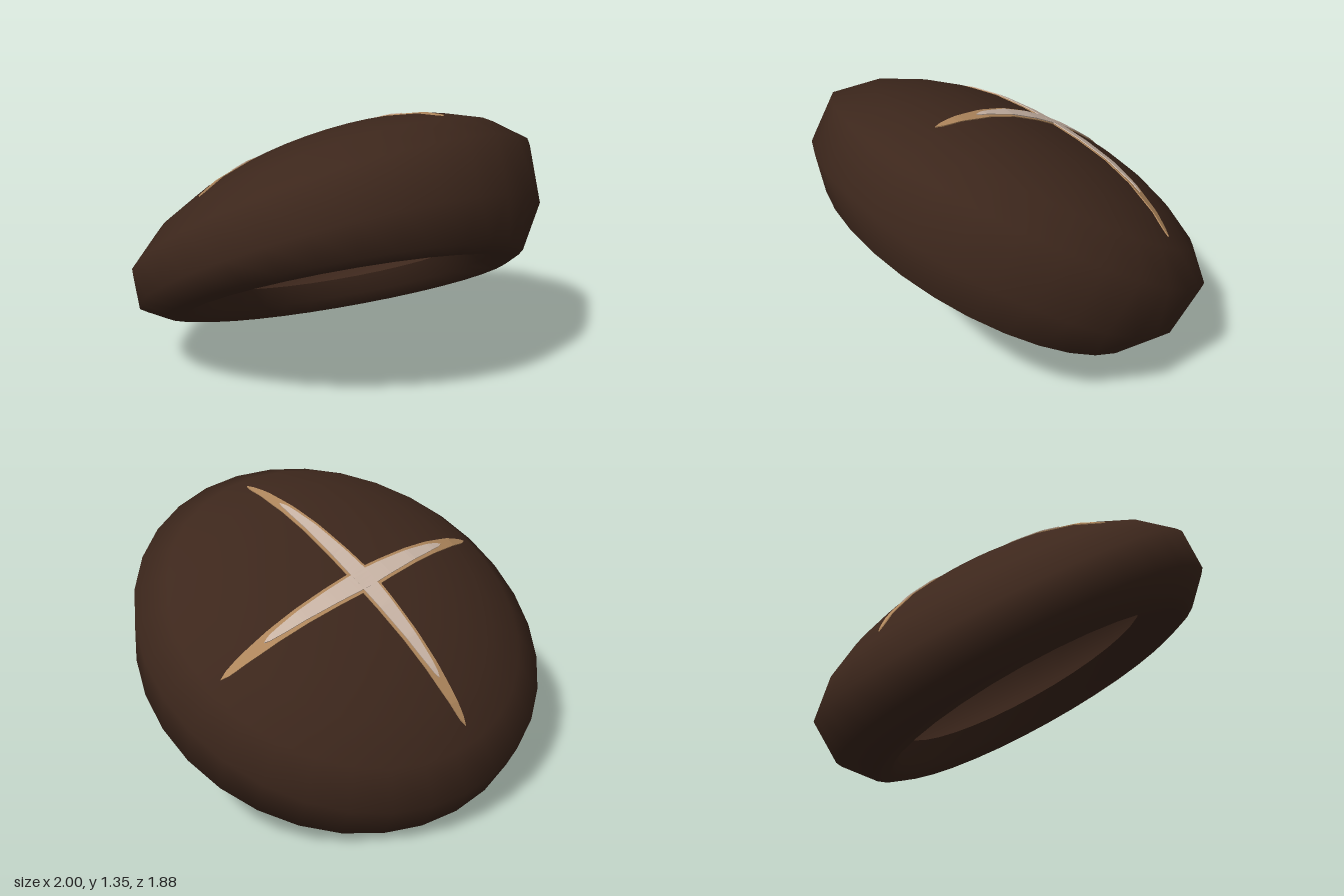
import * as THREE from 'three';
import { mergeVertices } from 'three/addons/utils/BufferGeometryUtils.js';

// Half profile of the hollow cap: [radius, height], from the curled-in lip to the crown
const PROFILE = [
  [0.654, -0.13], [0.72, -0.22], [0.805, -0.272], [0.88, -0.248], [1.005, -0.11], [1.014, 0.12],
  [0.87, 0.26], [0.69, 0.355], [0.52, 0.415], [0.36, 0.45], [0.18, 0.468], [0, 0.474],
];
const LIP_POINTS = 3;
const CROWN = PROFILE.slice(5);
const LEAN = 0.145; // the dome rises toward +x while the lip stays level

// Height of the leaning dome at a point
function domeHeight(x, z) {
  const r = Math.hypot(x, z);
  const i = CROWN.findIndex((p, k) => k > 0 && r >= p[0]);
  const [r0, h0] = CROWN[i - 1], [r1, h1] = CROWN[i];
  return h0 + ((h1 - h0) * (r - r0)) / (r1 - r0) + LEAN * x;
}

// Lathed cap whose outer wall and dome lean; the lean fades out at the lip
function capGeometry() {
  const lathe = new THREE.LatheGeometry(PROFILE.map(([r, h]) => new THREE.Vector2(r, h)), 32);
  const p = lathe.attributes.position;
  for (let i = 0; i < p.count; i++) {
    const ring = i % PROFILE.length;
    if (ring < LIP_POINTS) continue;
    const amount = THREE.MathUtils.clamp((p.getY(i) + 0.272) / 0.28, 0, 1);
    p.setY(i, p.getY(i) + LEAN * amount * p.getX(i));
  }
  lathe.deleteAttribute('uv');
  lathe.deleteAttribute('normal');
  const geometry = mergeVertices(lathe, 1e-4);
  geometry.computeVertexNormals();
  return geometry;
}

// Tapered blade that follows the dome from a to b; lift is above the skin, depth below it
function bladeGeometry(a, b, halfWidth, lift, depth, reach) {
  const steps = 24, pos = [], index = [];
  const along = b.clone().sub(a);
  const side = new THREE.Vector2(-along.y, along.x).normalize();
  const put = (s, w, offset) => {
    const x = a.x + along.x * s + side.x * w;
    const z = a.y + along.y * s + side.y * w;
    pos.push(x, domeHeight(x, z) + offset, z);
  };
  for (let i = 0; i <= steps; i++) {
    const s = i / steps;
    const w = halfWidth * Math.sqrt(1 - s) + 0.001;
    put(s, w, lift);
    put(s, -w, lift);
    put(s * reach, -w, -depth);
    put(s * reach, w, -depth);
  }
  for (let i = 0; i < steps; i++) {
    for (let k = 0; k < 4; k++) {
      const p = i * 4 + k, q = i * 4 + ((k + 1) % 4);
      index.push(p, p + 4, q, q, p + 4, q + 4);
    }
  }
  const e = steps * 4;
  index.push(e, e + 2, e + 1, e, e + 3, e + 2);
  const geometry = new THREE.BufferGeometry();
  geometry.setAttribute('position', new THREE.Float32BufferAttribute(pos, 3));
  geometry.setIndex(index);
  const flat = geometry.toNonIndexed();
  flat.computeVertexNormals();
  return flat;
}

function material(name, color) {
  const m = new THREE.MeshStandardMaterial({ color, side: THREE.DoubleSide });
  m.name = name;
  return m;
}

export function createModel() {
  const model = new THREE.Group();
  model.name = 'mushroomCap';
  const brown = material('darkBrown', 0x3d271c);
  const tan = material('tan', 0xb2895e);
  const cream = material('paleCream', 0xcdb8a9);

  // Everything is built upright, then tipped back and a little sideways
  const tilted = new THREE.Group();
  tilted.name = 'tiltedCap';
  tilted.quaternion.setFromUnitVectors(
    new THREE.Vector3(0, 1, 0), new THREE.Vector3(-0.125, 0.866, -0.48).normalize());
  tilted.position.set(-0.003, 0.643, 0.008);
  model.add(tilted);

  // Thin hollow cap
  const cap = new THREE.Mesh(capGeometry(), brown);
  cap.name = 'cap';
  tilted.add(cap);

  // Cross-shaped cut: tan blades through the skin with paler, shorter strips on top
  const centre = new THREE.Vector2(-0.038, 0.012);
  const arms = [ // tip x, tip z, depth, reach of the lower edge
    [-0.53, -0.595, 0.05, 1.04], [0.597, -0.546, 0.02, 1],
    [0.518, 0.62, 0.02, 1], [-0.622, 0.54, 0.02, 1],
  ];
  arms.forEach(([x, z, depth, reach], i) => {
    const tip = new THREE.Vector2(x, z);
    const cut = new THREE.Mesh(bladeGeometry(centre, tip, 0.06, 0.004, depth, reach), tan);
    cut.name = 'cutEdge' + (i + 1);
    const inner = centre.clone().lerp(tip, 0.72);
    const flesh = new THREE.Mesh(bladeGeometry(centre, inner, 0.046, 0.008, 0, 1), cream);
    flesh.name = 'cutFlesh' + (i + 1);
    tilted.add(cut, flesh);
  });
  return model;
}
